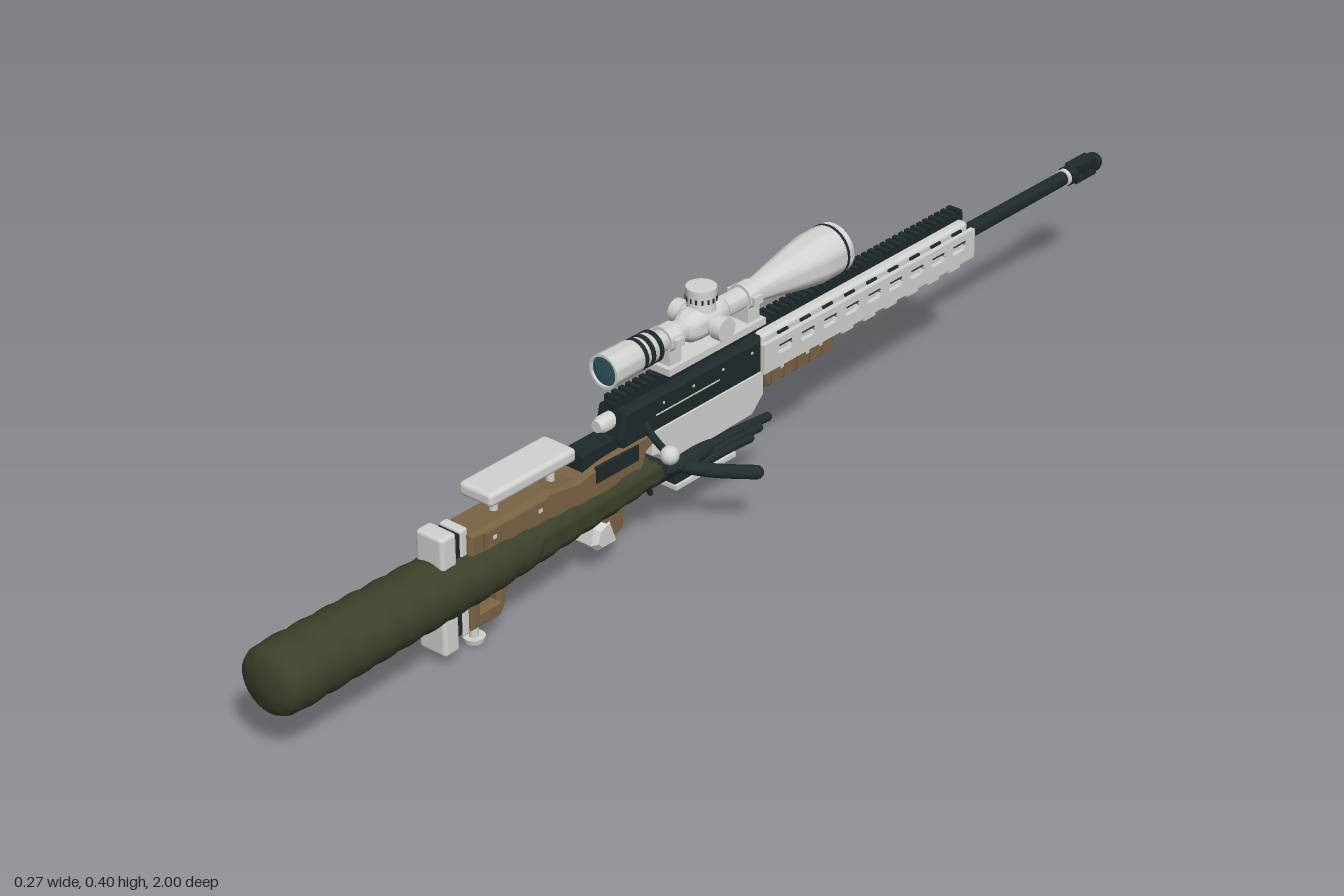
import * as THREE from 'three';
import { toCreasedNormals } from 'three/addons/utils/BufferGeometryUtils.js';
import { RoundedBoxGeometry } from 'three/addons/geometries/RoundedBoxGeometry.js';

const material = (name, color) => {
  const m = new THREE.MeshStandardMaterial({ color });
  m.name = name;
  return m;
};

export function createModel() {
  const light = material('light grey', 0xd2d2d0);
  const dark = material('dark metal', 0x1f2a2b);
  const brown = material('brown stock', 0x7a6344);
  const olive = material('olive cloth', 0x3b412a);
  const glove = material('glove', 0x222d30);
  const glass = material('lens glass', 0x30555f);
  const model = new THREE.Group();

  const add = (name, geo, mat, x = 0, y = 0, z = 0) => {
    const m = new THREE.Mesh(geo, mat);
    m.name = name;
    m.position.set(x, y, z);
    model.add(m);
    return m;
  };
  // Box given by half width, y range and z range
  const box = (name, mat, hw, y0, y1, z0, z1, x = 0) =>
    add(name, new THREE.BoxGeometry(hw * 2, y1 - y0, z1 - z0), mat, x, (y0 + y1) / 2, (z0 + z1) / 2);
  const rounded = (name, mat, hw, y0, y1, z0, z1, r) =>
    add(name, new RoundedBoxGeometry(hw * 2, y1 - y0, z1 - z0, 2, r), mat, 0, (y0 + y1) / 2, (z0 + z1) / 2);
  // Side outline of [z, y] points, extruded across x
  const side = (name, mat, pts, width, x = 0, holes = [], bevel = 0) => {
    const shape = new THREE.Shape(pts.map(p => new THREE.Vector2(...p)));
    for (const h of holes) shape.holes.push(new THREE.Path(h.map(p => new THREE.Vector2(...p))));
    const depth = width - 2 * bevel;
    const g = new THREE.ExtrudeGeometry(shape, {
      depth, bevelEnabled: bevel > 0, bevelSize: bevel, bevelOffset: -bevel, bevelThickness: bevel, bevelSegments: 1,
    });
    g.translate(0, 0, -depth / 2).rotateY(-Math.PI / 2);
    return add(name, g, mat, x);
  };
  // Turned part of [radius, z] points, z ascending
  const turned = (name, mat, pts, y, seg = 24, crease = 0.6) => {
    const g = new THREE.LatheGeometry(pts.map(p => new THREE.Vector2(...p)), seg).rotateX(Math.PI / 2);
    return add(name, toCreasedNormals(g, crease), mat, 0, y);
  };
  // Rounded limb through a few points
  const limb = (name, mat, pts, r) => {
    const v = pts.map(p => new THREE.Vector3(...p));
    add(name, new THREE.TubeGeometry(new THREE.CatmullRomCurve3(v), 12, r, 10), mat);
    for (const p of [v[0], v[v.length - 1]]) add(name + 'End', new THREE.SphereGeometry(r, 10, 8), mat, p.x, p.y, p.z);
  };
  const cylinder = (name, mat, r0, r1, h, x, y, z, seg = 20) =>
    add(name, new THREE.CylinderGeometry(r0, r1, h, seg), mat, x, y, z);

  // Barrel and muzzle brake with side ports
  turned('barrel', dark, [[0, -0.905], [0.0125, -0.905], [0.0135, -0.6], [0.016, -0.05], [0, -0.05]], 0.231);
  turned('muzzleCollar', light, [[0, -0.912], [0.015, -0.912], [0.015, -0.904], [0, -0.904]], 0.231);
  turned('brakeBase', dark, [[0, -0.93], [0.017, -0.93], [0.017, -0.912], [0, -0.912]], 0.231);
  turned('brakeTip', dark, [[0, -1], [0.014, -1], [0.017, -0.992], [0.017, -0.982], [0, -0.982]], 0.231);
  for (const s of [-1, 1]) box('brakeBar', dark, 0.013, 0.231 + s * 0.0125 - 0.0035, 0.231 + s * 0.0125 + 0.0035, -0.984, -0.928);
  box('brakeBaffle', dark, 0.0155, 0.217, 0.245, -0.96, -0.952);

  // Handguard: inner core, slotted side panels, chamfered top
  rounded('handguardCore', light, 0.028, 0.2, 0.272, -0.605, -0.075, 0.008);
  const slots = [], vents = [];
  for (let i = 0; i < 9; i++) {
    const z = -0.57 + i * 0.056;
    slots.push([[z - 0.018, 0.236], [z - 0.014, 0.229], [z + 0.014, 0.229], [z + 0.018, 0.236], [z + 0.014, 0.243], [z - 0.014, 0.243]]);
    vents.push(z);
  }
  for (const s of [-1, 1]) {
    side('handguardPanel', light, [[-0.612, 0.206], [-0.07, 0.206], [-0.07, 0.258], [-0.612, 0.258]], 0.009, s * 0.0315, slots);
    for (const z of vents) {
      box('ventEdge', dark, 0.0008, 0.2435, 0.2455, z - 0.015, z + 0.015, s * 0.0362);
      const v = box('upperVent', dark, 0.003, 0.0, 0.004, z - 0.012, z + 0.012, s * 0.0285);
      v.position.y = 0.2635;
      box('lowerLug', light, 0.006, 0.194, 0.204, z - 0.014, z + 0.014, s * 0.022);
    }
  }
  // Top rail with cross teeth
  box('railBase', dark, 0.011, 0.268, 0.281, -0.61, 0.255);
  for (let i = 0; i < 54; i++) {
    const z = -0.605 + i * 0.016;
    box('railTooth', dark, 0.0135, 0.279, 0.289, z, z + 0.009);
  }

  // Receiver and lower chassis
  side('receiver', dark, [[-0.075, 0.205], [0.255, 0.205], [0.262, 0.225], [0.25, 0.27], [-0.075, 0.27]], 0.058, 0, [], 0.006);
  for (const s of [-1, 1]) {
    box('receiverGroove', light, 0.001, 0.236, 0.238, 0.03, 0.18, s * 0.0292);
    for (let i = 0; i < 4; i++) box('receiverPin', light, 0.001, 0.25, 0.254, -0.05 + i * 0.07, -0.046 + i * 0.07, s * 0.0292);
  }
  turned('boltShroud', light, [[0, 0.2], [0.014, 0.2], [0.014, 0.275], [0.01, 0.285], [0, 0.285]], 0.25);
  side('chassis', light, [[-0.08, 0.215], [-0.08, 0.165], [-0.05, 0.137], [0.14, 0.132], [0.185, 0.165], [0.185, 0.215]], 0.06, 0, [], 0.006);
  side('magazine', dark, [[-0.012, 0.135], [-0.012, 0.084], [0.125, 0.084], [0.125, 0.135]], 0.044, 0, [], 0.004);
  box('magazineFloor', light, 0.024, 0.077, 0.0845, -0.016, 0.128);

  // Front wood grip with ribs
  side('foreGrip', brown, [[-0.26, 0.21], [-0.26, 0.18], [-0.245, 0.17], [-0.09, 0.17], [-0.075, 0.21]], 0.05, 0, [], 0.005);
  for (const s of [-1, 1]) for (let i = 0; i < 5; i++)
    box('foreGripRib', brown, 0.004, 0.178, 0.205, -0.245 + i * 0.032, -0.225 + i * 0.032, s * 0.026);

  // Bolt handle
  limb('boltArm', dark, [[0.02, 0.235, 0.2], [0.045, 0.218, 0.207], [0.072, 0.204, 0.21]], 0.006);
  add('boltKnob', new THREE.SphereGeometry(0.0155, 20, 14), light, 0.083, 0.199, 0.21);

  // Pistol grip and trigger
  side('pistolGrip', brown, [[0.18, 0.205], [0.2, 0.15], [0.232, 0.125], [0.247, 0.06], [0.29, 0.048], [0.3, 0.1], [0.3, 0.2]], 0.046, 0, [], 0.008);
  side('gripBack', light, [[0.262, 0.046], [0.305, 0.045], [0.32, 0.06], [0.312, 0.088], [0.28, 0.1]], 0.05, 0, [], 0.008);
  limb('trigger', dark, [[0, 0.135, 0.165], [0, 0.105, 0.172], [0, 0.08, 0.163]], 0.005);

  // Stock with an opening behind the grip
  side('stock', brown, [[0.18, 0.19], [0.27, 0.15], [0.38, 0.145], [0.5, 0.12], [0.525, 0.05], [0.535, 0.04], [0.597, 0.04],
    [0.597, 0.208], [0.42, 0.208], [0.36, 0.198], [0.3, 0.208], [0.2, 0.212]], 0.06, 0, [[[0.54, 0.07], [0.575, 0.07], [0.575, 0.1], [0.54, 0.1]]], 0.006);
  for (const s of [-1, 1]) {
    box('stockPanel', brown, 0.003, 0.175, 0.202, 0.43, 0.57, s * 0.032);
    box('stockPlate', dark, 0.003, 0.178, 0.205, 0.225, 0.32, s * 0.03);
    for (const z of [0.45, 0.55]) box('stockScrew', light, 0.001, 0.186, 0.192, z - 0.004, z + 0.004, s * 0.0352);
  }
  box('tang', dark, 0.02, 0.2, 0.228, 0.24, 0.34);
  rounded('cheekRest', light, 0.034, 0.237, 0.261, 0.365, 0.555, 0.008);
  for (const z of [0.39, 0.515]) cylinder('cheekPost', light, 0.007, 0.007, 0.045, 0, 0.222, z, 12);

  // Butt plate, pad and rear foot
  rounded('buttFrame', light, 0.022, 0.035, 0.22, 0.593, 0.61, 0.004);
  box('buttSpacer', dark, 0.02, 0.04, 0.215, 0.608, 0.626);
  rounded('buttPad', light, 0.028, 0.02, 0.226, 0.622, 0.655, 0.007);
  cylinder('footPost', light, 0.008, 0.008, 0.04, 0, 0.027, 0.565, 12);
  cylinder('footDisc', light, 0.018, 0.016, 0.009, 0, 0.0045, 0.565);

  // Scope body, eyepiece, bell and lenses
  const sy = 0.339;
  turned('scopeTube', light, [[0.036, -0.279], [0.039, -0.284], [0.043, -0.284], [0.043, -0.225], [0.038, -0.19], [0.019, -0.085], [0.018, -0.07],
    [0.018, 0.15], [0.025, 0.165], [0.025, 0.195], [0.028, 0.205], [0.029, 0.268], [0.025, 0.268], [0.024, 0.262]], sy, 28, 0.5);
  for (const z of [0.157, 0.176, 0.192]) turned('scopeRing', dark, [[0.018, z], [0.027, z], [0.027, z + 0.008], [0.018, z + 0.008]], sy);
  turned('bellRing', dark, [[0.04, -0.273], [0.0438, -0.273], [0.0438, -0.268], [0.04, -0.268]], sy, 28);
  turned('frontLens', glass, [[0, -0.281], [0.038, -0.279], [0.038, -0.276], [0, -0.276]], sy, 28);
  turned('rearLens', glass, [[0, 0.258], [0.025, 0.258], [0.025, 0.264], [0, 0.266]], sy, 28);

  // Turrets
  turned('turretHousing', light, [[0.018, -0.008], [0.026, 0.002], [0.028, 0.02], [0.028, 0.06], [0.026, 0.076], [0.018, 0.088]], sy);
  cylinder('topTurretBase', light, 0.021, 0.024, 0.02, 0, 0.368, 0.04);
  cylinder('topTurret', light, 0.025, 0.025, 0.022, 0, 0.386, 0.04);
  for (let i = 0; i < 16; i++) {
    const a = i * Math.PI / 8;
    cylinder('turretNotch', dark, 0.0015, 0.0015, 0.008, Math.cos(a) * 0.0248, 0.379, 0.04 + Math.sin(a) * 0.0248, 6);
  }
  for (const s of [-1, 1]) {
    cylinder('sideTurretNeck', light, 0.016, 0.016, 0.02, s * 0.03, sy - 0.002, 0.04).rotation.z = Math.PI / 2;
    cylinder('sideTurret', light, 0.02, 0.02, 0.02, s * 0.043, sy - 0.002, 0.04).rotation.z = Math.PI / 2;
  }

  // Scope mount
  box('mountBase', light, 0.026, 0.288, 0.3, -0.085, 0.145);
  for (const z of [-0.065, 0.122]) {
    box('mountFoot', light, 0.018, 0.295, 0.33, z - 0.014, z + 0.014);
    turned('mountRing', light, [[0.017, z - 0.013], [0.023, z - 0.013], [0.023, z + 0.013], [0.017, z + 0.013]], sy);
    for (const s of [-1, 1]) box('mountClamp', light, 0.005, 0.332, 0.346, z - 0.01, z + 0.01, s * 0.024);
  }

  // Wrinkled sleeve
  const sleeve = [[0, 0.15]];
  for (let i = 0; i <= 60; i++) {
    const z = 0.155 + i * 0.0135;
    const r = z < 0.55 ? 0.03 + (z - 0.155) * 0.05 : 0.05 + (z - 0.55) * 0.016;
    sleeve.push([r - 0.002 + 0.003 * Math.abs(Math.sin(z * 62)), z]);
  }
  sleeve.push([0.055, 0.977], [0.05, 0.988], [0.034, 0.997], [0, 1]);
  turned('sleeve', olive, sleeve, 0.129, 28, 3).scale.x = 1.06;

  // Gloved hands: palm, splayed thumbs and forward fingers
  add('palm', new THREE.SphereGeometry(1, 20, 14), glove, 0, 0.128, 0.1).scale.set(0.046, 0.024, 0.09);
  turned('gloveCuff', glove, [[0, 0.14], [0.033, 0.14], [0.033, 0.185], [0, 0.185]], 0.129);
  for (const s of [-1, 1]) {
    limb('thumb', glove, [[s * 0.025, 0.125, 0.13], [s * 0.07, 0.117, 0.095], [s * 0.123, 0.114, 0.05]], 0.0115);
    for (let i = 0; i < 3; i++)
      limb('finger', glove, [[s * (0.028 + i * 0.005), 0.126 - i * 0.006, 0.08], [s * (0.034 + i * 0.005), 0.132 - i * 0.008, 0.0],
        [s * (0.03 + i * 0.007), 0.122 - i * 0.004, -0.085 + i * 0.03]], 0.008);
  }
  return model;
}
